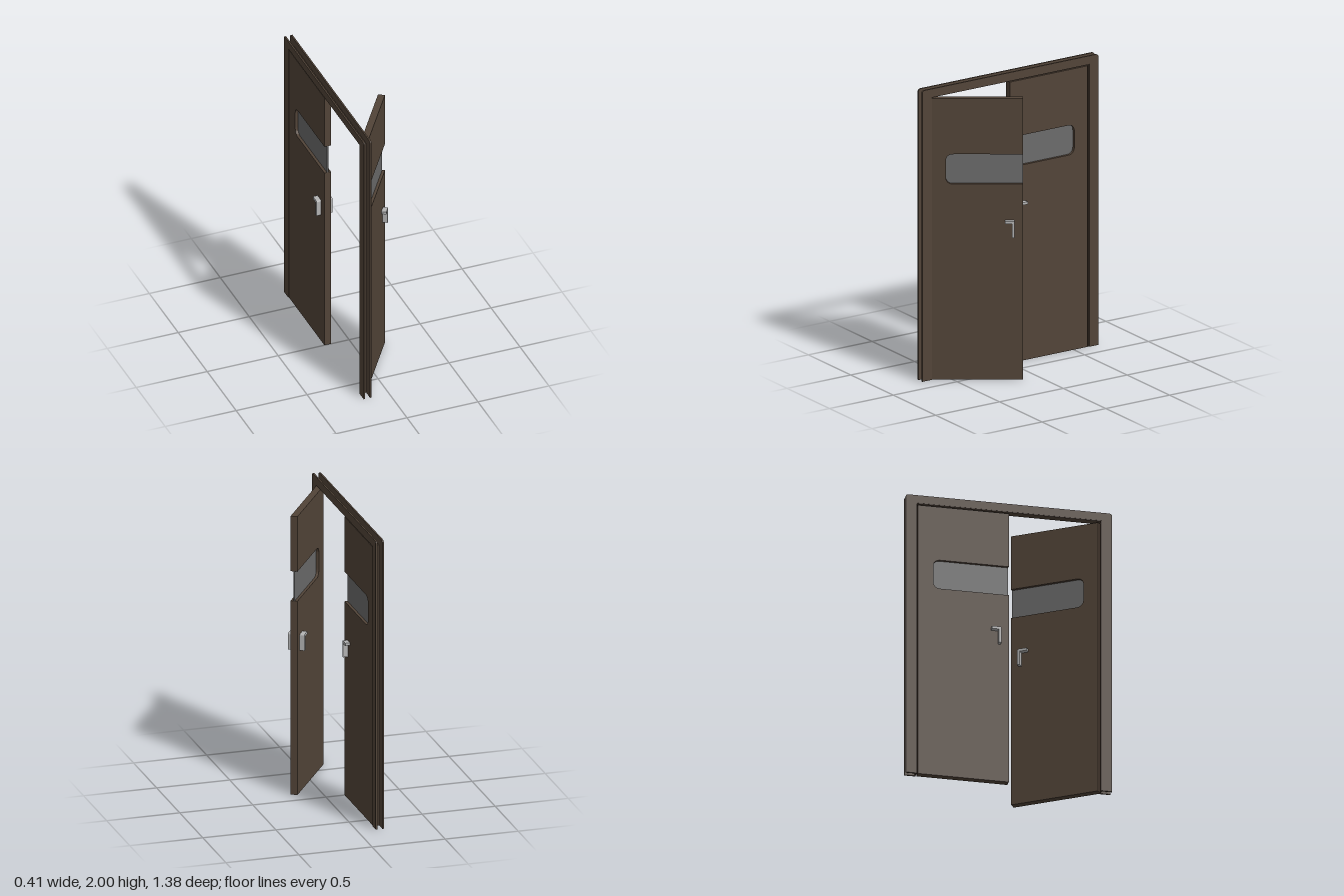
import * as THREE from 'three';

const brown = new THREE.MeshStandardMaterial({ color: 0x524438 });
brown.name = 'brown wood';
const grey = new THREE.MeshStandardMaterial({ color: 0x6b6b6b });
grey.name = 'grey glass';
const metal = new THREE.MeshStandardMaterial({ color: 0xb4b4b4 });
metal.name = 'light metal';

const WALL_X = -0.151, LEAF_W = 0.608, LEAF_H = 1.932, LEAF_T = 0.046;

// Extrude an outline drawn in (-z, y), centred on x
function slab(name, shape, depth, material, x = 0) {
  const geometry = new THREE.ExtrudeGeometry(shape, { depth, bevelEnabled: false, curveSegments: 8 });
  geometry.translate(0, 0, -depth / 2);
  geometry.rotateY(Math.PI / 2);
  const mesh = new THREE.Mesh(geometry, material);
  mesh.name = name;
  mesh.position.x = x;
  return mesh;
}

// Doorway outline: two legs and a head, open at the floor
function portal(outW, outH, inW, inH, r) {
  const s = new THREE.Shape();
  s.moveTo(-outW, 0);
  s.lineTo(-inW, 0);
  s.lineTo(-inW, inH);
  s.lineTo(inW, inH);
  s.lineTo(inW, 0);
  s.lineTo(outW, 0);
  s.lineTo(outW, outH - r);
  s.quadraticCurveTo(outW, outH, outW - r, outH);
  s.lineTo(r - outW, outH);
  s.quadraticCurveTo(-outW, outH, -outW, outH - r);
  s.closePath();
  return s;
}

// One leaf with its hinge at the origin; dir is the way it extends
function createLeaf(name, dir) {
  const leaf = new THREE.Group();
  leaf.name = name;
  const w0 = 0.103, y0 = 1.345, y1 = 1.55, r = 0.05;

  // Window slot with rounded corners, open at the meeting edge
  const slot = (s) => {
    s.lineTo(dir * (w0 + r), y0);
    s.quadraticCurveTo(dir * w0, y0, dir * w0, y0 + r);
    s.lineTo(dir * w0, y1 - r);
    s.quadraticCurveTo(dir * w0, y1, dir * (w0 + r), y1);
    s.lineTo(dir * LEAF_W, y1);
  };
  const panel = new THREE.Shape();
  panel.moveTo(0, 0);
  panel.lineTo(dir * LEAF_W, 0);
  panel.lineTo(dir * LEAF_W, y0);
  slot(panel);
  panel.lineTo(dir * LEAF_W, LEAF_H);
  panel.lineTo(0, LEAF_H);
  panel.closePath();
  leaf.add(slab('doorPanel', panel, LEAF_T, brown));

  const pane = new THREE.Shape();
  pane.moveTo(dir * LEAF_W, y0);
  slot(pane);
  pane.closePath();
  leaf.add(slab('windowPane', pane, 0.009, grey));

  // L-shaped handle passing through the leaf
  const a = LEAF_W - 0.055, b = LEAF_W - 0.119, t = 0.018, top = 1.098, low = 0.985, c = 0.012;
  const grip = new THREE.Shape();
  grip.moveTo(dir * a, low);
  grip.lineTo(dir * a, top - c);
  grip.quadraticCurveTo(dir * a, top, dir * (a - c), top);
  grip.lineTo(dir * b, top);
  grip.lineTo(dir * b, top - t);
  grip.lineTo(dir * (a - t), top - t);
  grip.lineTo(dir * (a - t), low);
  grip.closePath();
  leaf.add(slab('handle', grip, 0.112, metal));
  return leaf;
}

export function createModel() {
  const model = new THREE.Group();
  model.name = 'doubleDoor';

  // Frame: a trim on each face of the wall, joined by a thin lining
  const frame = new THREE.Group();
  frame.name = 'frame';
  for (const [name, side] of [['rightTrim', -1], ['leftTrim', 1]]) {
    frame.add(slab(name, portal(0.69, 2, 0.619, 1.943, 0.02), 0.011, brown, WALL_X + side * 0.0225));
  }
  frame.add(slab('lining', portal(0.623, 1.947, 0.615, 1.94, 0.001), 0.052, brown, WALL_X));
  model.add(frame);

  // Closed leaf
  const closed = createLeaf('closedLeaf', -1);
  closed.position.set(WALL_X, 0, -LEAF_W);
  model.add(closed);

  // Leaf swung open about its hinge
  const open = createLeaf('openLeaf', 1);
  open.position.set(WALL_X - 0.001, 0, 0.611);
  open.rotation.y = -0.588;
  model.add(open);

  return model;
}
